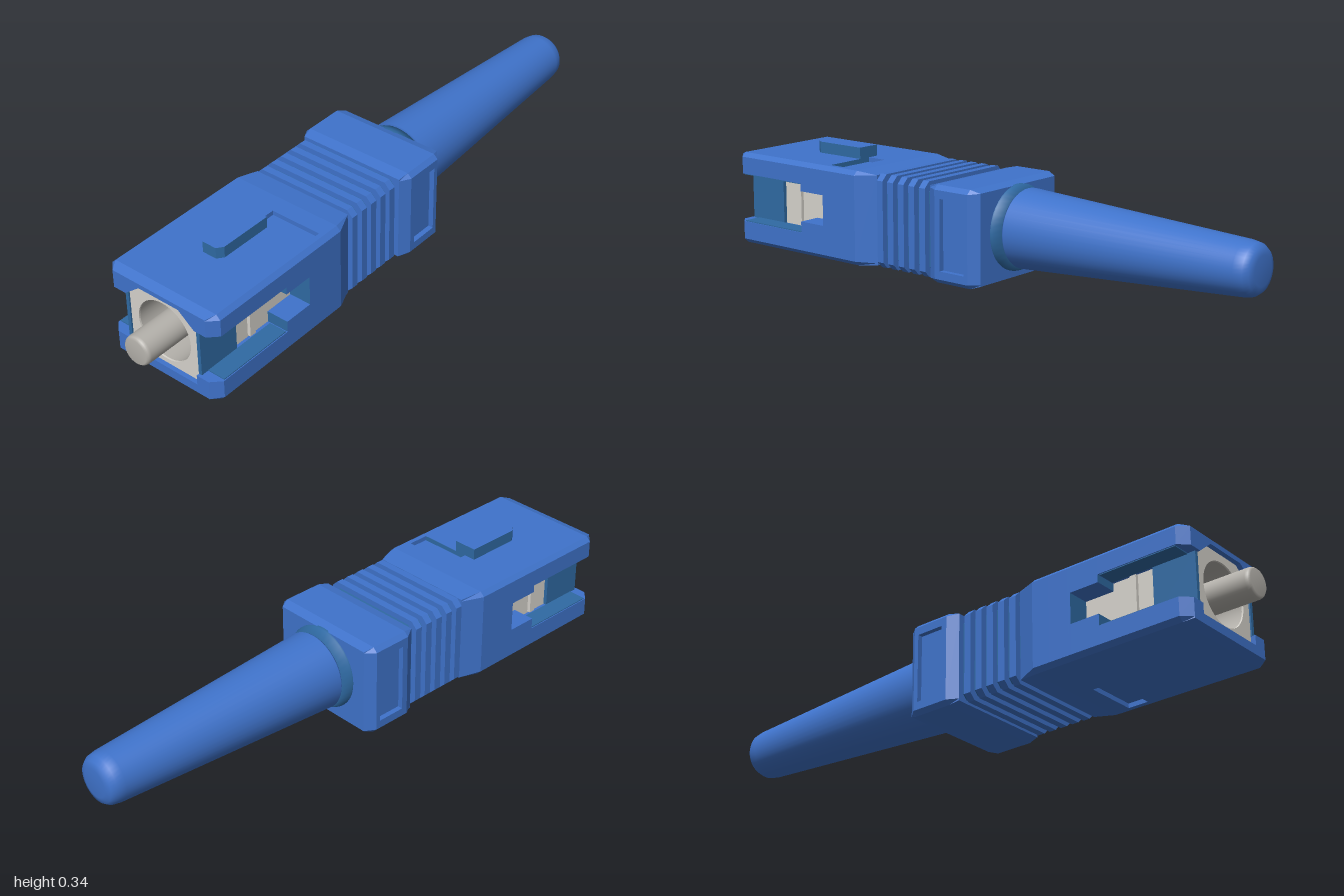
import * as THREE from 'three';

const mat = (name, color, side = THREE.FrontSide) => {
  const m = new THREE.MeshStandardMaterial({ color, side });
  m.name = name;
  return m;
};

export function createModel() {
  const blue = mat('bright blue', 0x3f73cb);
  const deep = mat('deep blue', 0x2f6aa3);
  const grey = mat('pale grey', 0xd6d3cc);
  const dark = mat('warm grey', 0xb4b1ab, THREE.DoubleSide);
  const root = new THREE.Group();
  root.name = 'fibrePlug';

  const group = (name) => {
    const g = new THREE.Group();
    g.name = name;
    root.add(g);
    return g;
  };
  const add = (parent, name, geo, material) => {
    const m = new THREE.Mesh(geo, material);
    m.name = name;
    parent.add(m);
    return m;
  };
  const box = (parent, name, w, h, d, x, y, z, material) =>
    add(parent, name, new THREE.BoxGeometry(w, h, d).translate(x, y, z), material);
  const outline = (pts) => new THREE.Shape(pts.map(([x, y]) => new THREE.Vector2(x, y)));

  // Extrude a front outline from z0 to z1; optionally pinch one end inward
  const slice = (parent, name, shape, z0, z1, material, pinch) => {
    const geo = new THREE.ExtrudeGeometry(shape, { depth: z1 - z0, bevelEnabled: false, curveSegments: 32 });
    geo.translate(0, 0, z0);
    if (pinch) {
      const p = geo.attributes.position;
      for (let i = 0; i < p.count; i++) {
        if (Math.abs(p.getZ(i) - pinch.z) > 1e-4) continue;
        p.setX(i, THREE.MathUtils.clamp(p.getX(i), -pinch.x, pinch.x));
        p.setY(i, THREE.MathUtils.clamp(p.getY(i), pinch.y, 0.305 - pinch.y));
      }
      geo.computeVertexNormals();
    }
    return add(parent, name, geo, material);
  };

  // Chamfered block outline
  const block = (w, y0, y1, c) => outline([
    [-w, y0 + c], [-w + c, y0], [w - c, y0], [w, y0 + c],
    [w, y1 - c], [w - c, y1], [-w + c, y1], [-w, y1 - c]]);
  const W = 0.205, full = block(W, 0, 0.305, 0.014);

  // Upper and lower halves of the hollow shell, open at the sides between lo and hi
  const upper = (hi) => outline([
    [-W, hi], [-0.13, hi], [-0.13, 0.236], [-0.075, 0.28], [0.075, 0.28], [0.13, 0.236],
    [0.13, hi], [W, hi], [W, 0.291], [0.191, 0.305], [-0.191, 0.305], [-W, 0.291]]);
  const lower = (lo) => outline([
    [-W, lo], [-W, 0.014], [-0.191, 0], [0.191, 0], [W, 0.014], [W, lo],
    [0.13, lo], [0.13, 0.04], [-0.13, 0.04], [-0.13, lo]]);

  // Outer housing
  const housing = group('housing');
  for (const [n, wide, narrow] of [['Top', upper(0.235), upper(0.21)], ['Bottom', lower(0.073), lower(0.11)]]) {
    slice(housing, 'front' + n, wide, 0.87, 0.9, blue, { z: 0.9, x: 0.175, y: 0.01 });
    slice(housing, 'shell' + n, wide, 0.6, 0.87, blue);
    slice(housing, 'slot' + n, narrow, 0.5, 0.6, [deep, blue]);
  }
  slice(housing, 'midBlock', full, 0.49, 0.5, [deep, blue]);
  // Band with a shallow notch above and below, on the left side
  slice(housing, 'notchedBand', outline([
    [-W, 0.014], [-0.191, 0], [0, 0], [0, 0.015], [0.175, 0.015], [0.175, 0], [0.191, 0], [W, 0.014],
    [W, 0.291], [0.191, 0.305], [0.175, 0.305], [0.175, 0.29], [0, 0.29], [0, 0.305],
    [-0.191, 0.305], [-W, 0.291]]), 0.42, 0.49, blue);
  slice(housing, 'rearBlock', full, 0.36, 0.42, blue);
  slice(housing, 'rearTaper', full, 0.29, 0.36, blue, { z: 0.29, x: 0.175, y: 0.008 });

  // Side windows: inner wall and dark linings
  for (const s of [-1, 1]) {
    box(housing, 'innerWall', 0.012, 0.164, 0.145, s * 0.135, 0.154, 0.8175, deep);
    box(housing, 'windowLiningTop', 0.06, 0.004, 0.26, s * 0.172, 0.234, 0.735, deep);
    box(housing, 'windowLiningBottom', 0.06, 0.004, 0.26, s * 0.172, 0.074, 0.735, deep);
  }

  // Key on top
  const keyGeo = new THREE.ExtrudeGeometry(outline([
    [-0.04, 0.49], [0.04, 0.49], [0.04, 0.67], [0.025, 0.69], [-0.025, 0.69], [-0.04, 0.67]]),
  { depth: 0.045, bevelEnabled: false });
  keyGeo.rotateX(Math.PI / 2).translate(0, 0.342, 0);
  add(root, 'key', keyGeo, [blue, deep]);

  // Inner body with round bore
  const body = group('innerBody');
  const bodyPts = [[-0.115, 0.04], [0.115, 0.04], [0.129, 0.054], [0.129, 0.235],
    [0.075, 0.279], [-0.075, 0.279], [-0.129, 0.235], [-0.129, 0.054]];
  const bored = outline(bodyPts);
  bored.holes.push(new THREE.Path().absarc(0, 0.155, 0.1, 0, Math.PI * 2, true));
  slice(body, 'sleeve', bored, 0.62, 0.885, grey);
  slice(body, 'sleeveBase', outline(bodyPts), 0.5, 0.62, [dark, grey]);
  add(body, 'boreLining', new THREE.CylinderGeometry(0.0995, 0.0995, 0.26, 40, 1, true)
    .rotateX(Math.PI / 2).translate(0, 0.155, 0.75), dark);
  for (const s of [-1, 1]) box(body, 'sideRib', 0.014, 0.155, 0.022, s * 0.133, 0.155, 0.675, grey);

  // Round parts turned about the long axis
  const turned = (name, pts, y, material) => add(root, name,
    new THREE.LatheGeometry(pts.map(([r, z]) => new THREE.Vector2(r, z)), 40)
      .rotateX(Math.PI / 2).translate(0, y, 0), material);
  turned('ferrule', [[0.048, 0.6], [0.048, 0.985], [0.046, 0.994], [0.04, 1], [0, 1]], 0.155, dark);

  // Ribbed neck
  const neck = group('ribbedNeck');
  slice(neck, 'core', block(0.165, 0.02, 0.285, 0.015), 0.05, 0.295, deep);
  for (let i = 0; i < 5; i++) {
    const z = 0.093 + i * 0.044;
    slice(neck, 'rib', block(0.185, 0.002, 0.303, 0.02), z - 0.012, z + 0.012, blue);
  }

  // Rear grip with recessed sides
  const grip = group('rearGrip');
  slice(grip, 'gripFront', full, 0.025, 0.06, blue, { z: 0.06, x: 0.185, y: 0.008 });
  slice(grip, 'gripShoulder', full, 0.005, 0.025, blue);
  slice(grip, 'gripMiddle', outline([
    [-W, 0.014], [-0.191, 0], [0.191, 0], [W, 0.014], [W, 0.04], [0.188, 0.04], [0.188, 0.265], [W, 0.265],
    [W, 0.291], [0.191, 0.305], [-0.191, 0.305], [-W, 0.291], [-W, 0.265], [-0.188, 0.265],
    [-0.188, 0.04], [-W, 0.04]]), -0.09, 0.005, blue);
  slice(grip, 'gripBack', full, -0.105, -0.09, blue);
  slice(grip, 'gripEnd', full, -0.135, -0.105, blue, { z: -0.135, x: 0.18, y: 0.01 });

  // Collar and strain relief boot
  turned('collar', [[0, -0.175], [0.121, -0.175], [0.135, -0.14], [0.135, -0.13]], 0.163, deep);
  turned('boot', [[0, -1], [0.045, -1], [0.066, -0.993], [0.077, -0.978], [0.082, -0.95],
    [0.125, -0.175], [0.122, -0.17], [0, -0.17]], 0.165, blue);

  return root;
}
